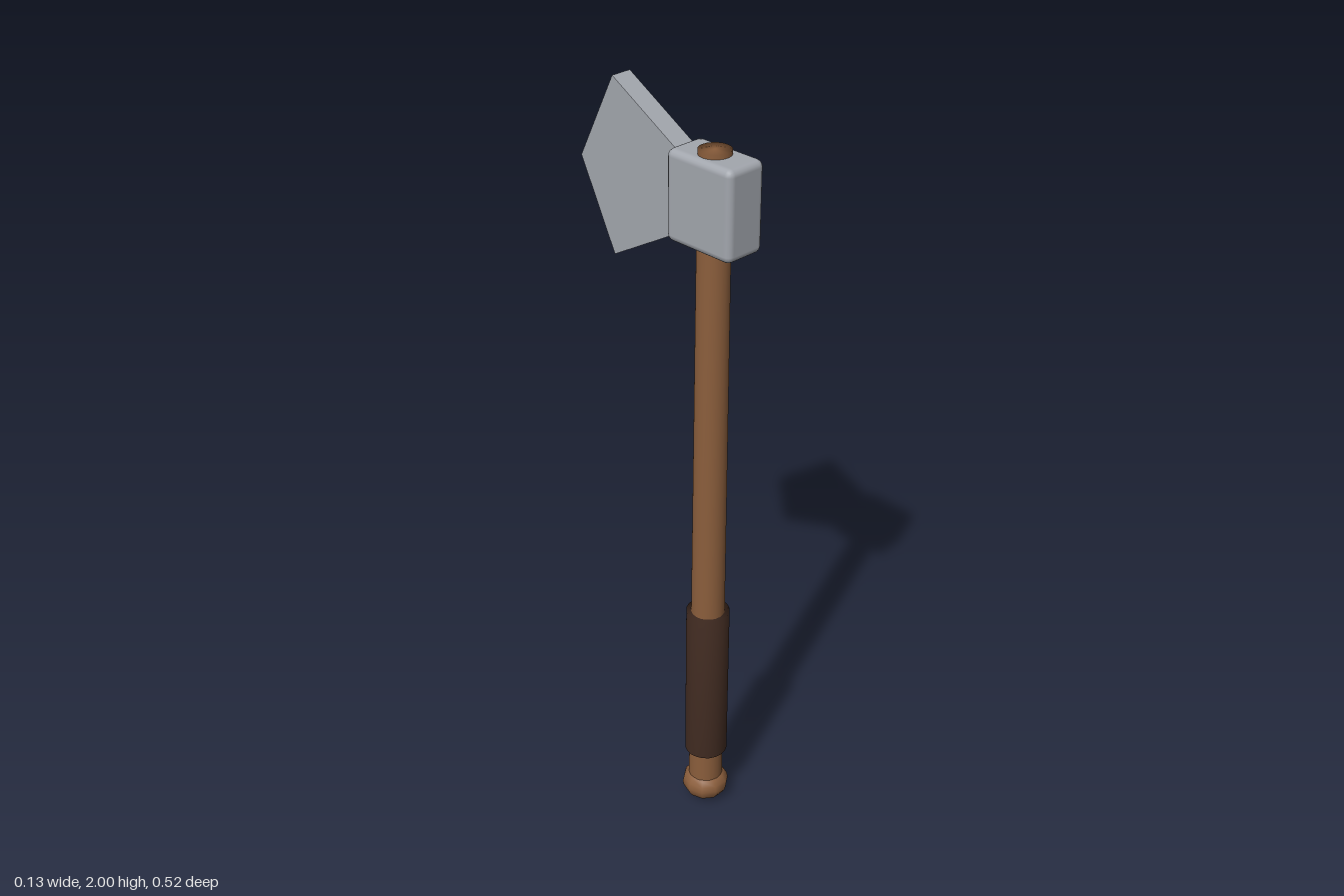
import * as THREE from 'three';
import { mergeVertices } from 'three/addons/utils/BufferGeometryUtils.js';
import { RoundedBoxGeometry } from 'three/addons/geometries/RoundedBoxGeometry.js';

const AXIS_Z = 0.158; // the handle stands forward of centre

function material(name, hex) {
  const m = new THREE.MeshStandardMaterial({ color: hex });
  m.name = name;
  return m;
}

// Weld sides and caps so the shading runs smoothly over the rims
function soften(geometry) {
  geometry.deleteAttribute('normal');
  geometry.deleteAttribute('uv');
  const welded = mergeVertices(geometry, 1e-4);
  welded.computeVertexNormals();
  return welded;
}

export function createModel() {
  const wood = material('wood', 0x8b5e3c);
  const leather = material('dark leather', 0x422c22);
  const steel = material('steel', 0xa2a6ad);
  const model = new THREE.Group();
  model.name = 'axe';

  const add = (name, geometry, mat, y, z) => {
    const mesh = new THREE.Mesh(geometry, mat);
    mesh.name = name;
    mesh.position.set(0, y, z);
    model.add(mesh);
    return mesh;
  };
  const rod = (rTop, rBottom, y0, y1) =>
    soften(new THREE.CylinderGeometry(rTop, rBottom, y1 - y0, 20));

  // Tapered handle, grip wrap and flattened pommel
  add('handle', rod(0.04, 0.046, 0.05, 1.9), wood, 0.975, AXIS_Z);
  add('grip', rod(0.057, 0.057, 0.172, 0.63), leather, 0.401, AXIS_Z);
  const pommel = add('pommel', new THREE.SphereGeometry(0.063, 10, 10), wood, 0.05, AXIS_Z);
  pommel.scale.y = 0.79;

  // Head block around the top of the handle
  add('head', new RoundedBoxGeometry(0.114, 0.226, 0.204, 2, 0.018), steel, 1.776, AXIS_Z);

  // Flat five-sided blade reaching back from the head
  const outline = new THREE.Shape([
    [-0.075, 0.106], [-0.06, 0.106], [0.147, 0.224], [0.26, 0],
    [0.147, -0.224], [-0.06, -0.106], [-0.075, -0.106],
  ].map(([x, y]) => new THREE.Vector2(x, y)));
  const blade = new THREE.ExtrudeGeometry(outline, { depth: 0.056, bevelEnabled: false });
  blade.translate(0, 0, -0.028).rotateY(Math.PI / 2);
  add('blade', blade, steel, 1.776, 0);

  return model;
}
